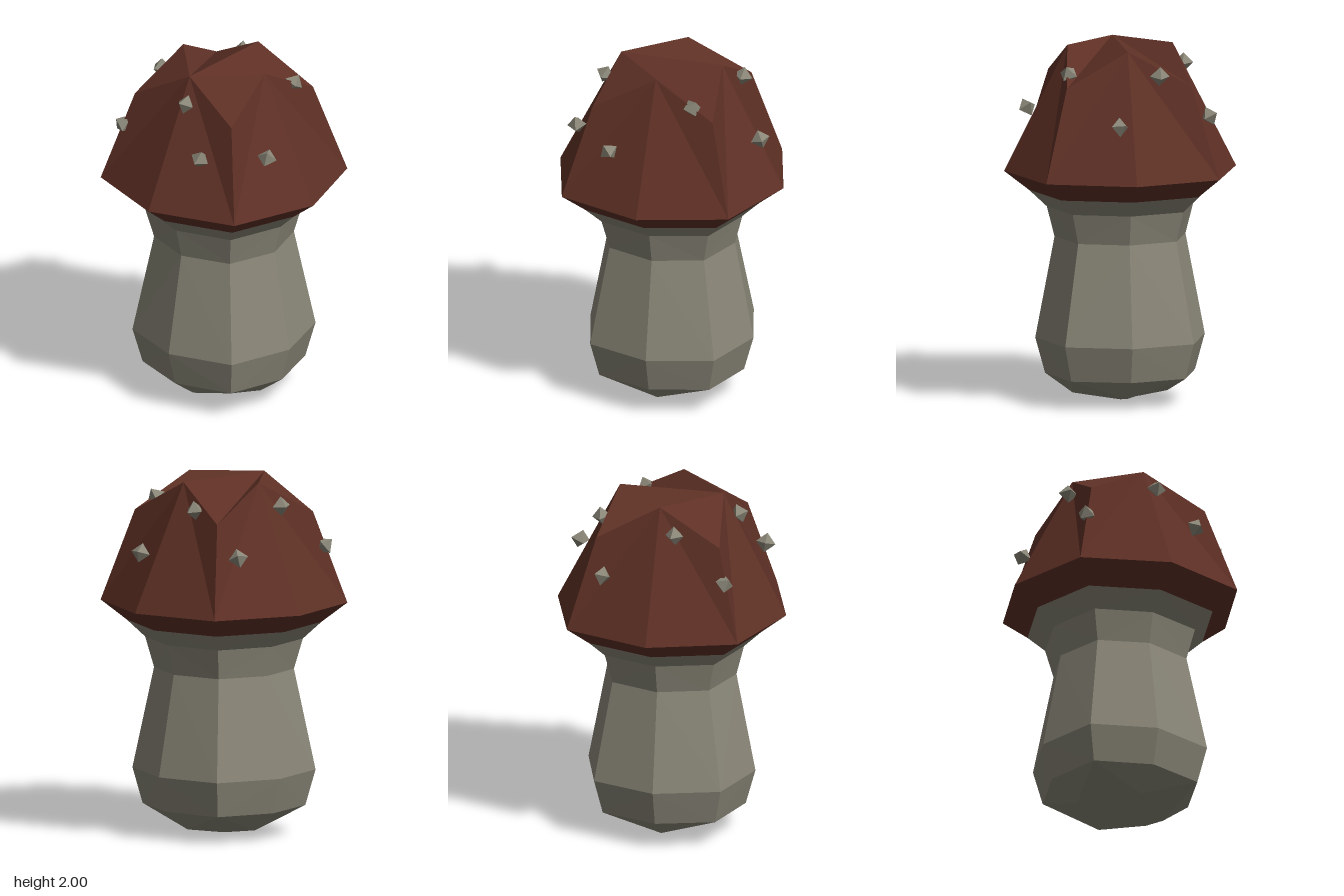
import * as THREE from 'three';

const capBrown = new THREE.MeshStandardMaterial({ name: 'capBrown', color: 0x5e3025, flatShading: true });
const stemGrey = new THREE.MeshStandardMaterial({ name: 'stemGrey', color: 0x8a8778, flatShading: true });

// Eight-point ring: axis points (r, y) alternate with corner points at (+-c, yc)
function ring(r, y, c, yc = y) {
  return Array.from({ length: 8 }, (_, k) => {
    const a = (k * Math.PI) / 4;
    const corner = k % 2 === 1;
    const radius = corner ? c * Math.SQRT2 : r;
    return [Math.sin(a) * radius, corner ? yc : y, Math.cos(a) * radius];
  });
}

// Skin between rings, listed from bottom to top
function loft(rings) {
  const out = [];
  for (let i = 0; i < rings.length - 1; i++) {
    for (let k = 0; k < 8; k++) {
      const n = (k + 1) % 8;
      const a = rings[i][k], b = rings[i][n], c = rings[i + 1][n], d = rings[i + 1][k];
      if (k % 2 === 0) out.push(a, b, d, b, c, d);
      else out.push(a, b, c, a, c, d);
    }
  }
  return out;
}

function facetedMesh(name, points, material) {
  const geometry = new THREE.BufferGeometry();
  geometry.setAttribute('position', new THREE.Float32BufferAttribute(points.flat(), 3));
  geometry.computeVertexNormals();
  const mesh = new THREE.Mesh(geometry, material);
  mesh.name = name;
  return mesh;
}

export function createModel() {
  const model = new THREE.Group();
  model.name = 'mushroom';

  // Stem: waisted body, with corners of the lowest ring pinched into a shallow point
  const stemRings = [
    ring(0.265, 0.045, 0.32, 0.16),
    ring(0.42, 0.16, 0.32),
    ring(0.475, 0.36, 0.36),
    ring(0.367, 0.925, 0.275),
    ring(0.41, 1.095, 0.31),
    ring(0.51, 1.19, 0.383),
  ];
  const stem = loft(stemRings);
  for (let k = 0; k < 8; k++) stem.push([0, 0, 0], stemRings[0][(k + 1) % 8], stemRings[0][k]);
  model.add(facetedMesh('stem', stem, stemGrey));

  // Cap: flared lip, sloped sides and a folded top
  const capRings = [
    ring(0.51, 1.19, 0.383),
    ring(0.65, 1.3, 0.485),
    ring(0.295, 2, 0.35, 1.81),
  ];
  const cap = loft(capRings);
  const top = capRings[2];
  for (let k = 1; k < 7; k++) cap.push(top[0], top[k], top[k + 1]);
  model.add(facetedMesh('cap', cap, capBrown));

  // Small faceted warts on the cap
  const warts = new THREE.Group();
  warts.name = 'warts';
  const wartGeometry = new THREE.OctahedronGeometry(0.055);
  [
    [0.08, 1.62, -0.54], [-0.17, 1.87, -0.36], [-0.46, 1.63, -0.29],
    [0.32, 1.87, -0.22], [-0.37, 1.87, 0.1], [0.49, 1.62, 0.21],
    [-0.4, 1.62, 0.39], [0.23, 1.63, 0.48], [0.04, 1.87, 0.375],
  ].forEach((p, i) => {
    const wart = new THREE.Mesh(wartGeometry, stemGrey);
    wart.name = `wart${i + 1}`;
    wart.position.set(...p);
    wart.rotation.set(0.3 + i * 0.7, 0.5 + i * 1.1, i * 0.4);
    warts.add(wart);
  });
  model.add(warts);

  return model;
}
